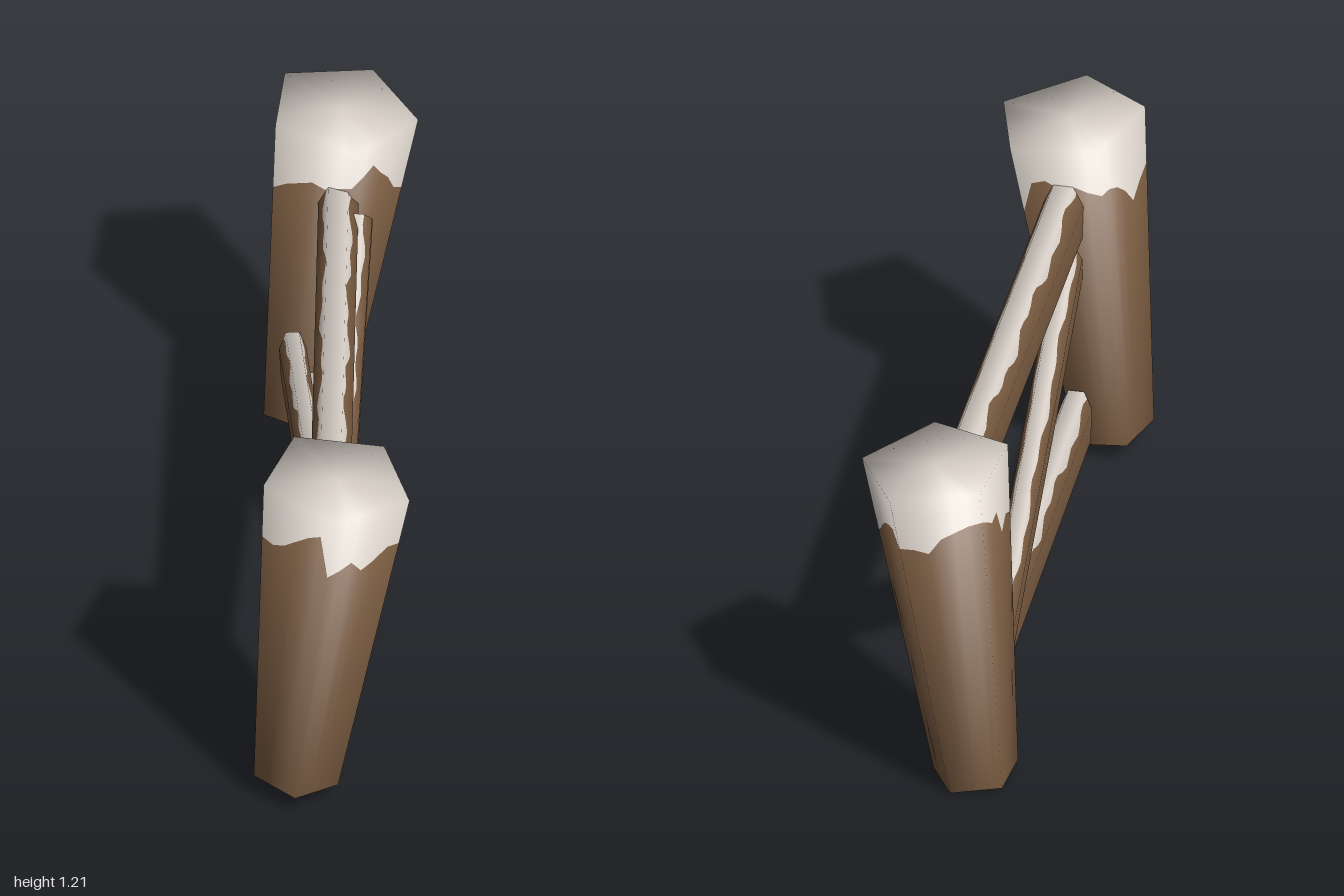
import * as THREE from 'three';

const V = (x, y, z) => new THREE.Vector3(x, y, z);
const wood = new THREE.MeshStandardMaterial({ color: 0x785a40, side: THREE.DoubleSide });
wood.name = 'brown wood';
const snow = new THREE.MeshStandardMaterial({ color: 0xd8d0c8, side: THREE.DoubleSide });
snow.name = 'snow white';

// Skin a list of rows of { p, n } points; triangles are turned to agree with their normals
function skin(name, rows, material) {
  const pos = [], nor = [], index = [], cols = rows[0].length;
  const pts = rows.flat();
  pts.forEach(({ p, n }) => { pos.push(p.x, p.y, p.z); nor.push(n.x, n.y, n.z); });
  const tri = (a, b, c) => {
    const ab = pts[b].p.clone().sub(pts[a].p), ac = pts[c].p.clone().sub(pts[a].p);
    const face = ab.cross(ac);
    if (face.lengthSq() < 1e-14) return;
    const n = pts[a].n.clone().add(pts[b].n).add(pts[c].n);
    if (face.dot(n) > 0) index.push(a, b, c); else index.push(a, c, b);
  };
  for (let i = 0; i < rows.length - 1; i++) {
    for (let j = 0; j < cols - 1; j++) {
      const a = i * cols + j, b = a + cols;
      tri(a, b, a + 1);
      tri(b, b + 1, a + 1);
    }
  }
  const geo = new THREE.BufferGeometry();
  geo.setAttribute('position', new THREE.Float32BufferAttribute(pos, 3));
  geo.setAttribute('normal', new THREE.Float32BufferAttribute(nor, 3));
  geo.setIndex(index);
  const mesh = new THREE.Mesh(geo, material);
  mesh.name = name;
  return mesh;
}

// Leaning five-sided post, open below, that widens upwards; edge lists the height of the snow line, six per side
function post(name, base, top, r0, r1, turn, edge) {
  const group = new THREE.Group();
  group.name = name;
  const axis = top.clone().sub(base), length = axis.length();
  axis.normalize();
  const q = new THREE.Quaternion().setFromUnitVectors(V(0, 1, 0), axis);
  const corner = k => {
    const a = turn + k * Math.PI * 2 / 5;
    return V(Math.sin(a), 0, -Math.cos(a));
  };
  const at = (i, t, scale = 1) => {
    const c = corner(Math.floor(i / 6)).lerp(corner(Math.floor(i / 6) + 1), (i % 6) / 6);
    const r = THREE.MathUtils.lerp(r0, r1, t) * scale;
    const p = V(c.x * r, t * length, c.z * r).applyQuaternion(q).add(base);
    const n = c.multiplyScalar(scale).setY(0.8 * t - 0.1).normalize().applyQuaternion(q);
    return { p, n };
  };
  const ring = f => Array.from({ length: 31 }, (_, i) => f(i));
  const line = i => (edge[i % 30] - base.y) / (top.y - base.y);
  group.add(
    skin('postWood', [ring(i => at(i, 0)), ring(i => at(i, line(i)))], wood),
    skin('postSnowCap', [ring(i => at(i, line(i))), ring(i => at(i, 1)), ring(i => at(i, 1, 0))], snow)
  );
  return group;
}

// Hollow plank from a to b, open below and at its ends, with a ragged strip of snow along its top;
// bare (0 to 1) is how far the wood reaches up to the top corner
function rail(name, a, b, halfHeight, halfWidth, bare, seed) {
  const group = new THREE.Group();
  group.name = name;
  const d = b.clone().sub(a).normalize();
  const side = d.clone().cross(V(0, 1, 0)).normalize();
  const up = side.clone().cross(d);
  const steps = 36;
  const at = (i, w, h) => ({
    p: a.clone().lerp(b, i / steps).addScaledVector(side, w * halfWidth).addScaledVector(up, h * halfHeight),
    n: side.clone().multiplyScalar(w).addScaledVector(up, Math.max(h, 0) * 0.7).normalize()
  });
  // Snow line on one side, between the widest point and the top corner
  const drip = (i, s) => {
    const wave = 0.16 * Math.sin(i * 0.55 + seed + s) + 0.14 * Math.sin(i * 1.4 + seed * 2 - s);
    const k = THREE.MathUtils.clamp(bare + wave, 0, 1);
    return at(i, s * THREE.MathUtils.lerp(1, 0.5, k), THREE.MathUtils.lerp(0.3, 1, k));
  };
  const near = [], far = [], snowRows = [];
  for (let i = 0; i <= steps; i++) {
    const front = drip(i, 1), back = drip(i, -1);
    near.push([front, at(i, 1, 0.3), at(i, 0.9, -1)]);
    far.push([back, at(i, -1, 0.3), at(i, -0.9, -1)]);
    snowRows.push([front, at(i, 0.5, 1), at(i, -0.5, 1), back]);
  }
  group.add(skin('railFront', near, wood), skin('railBack', far, wood), skin('railSnow', snowRows, snow));
  return group;
}

export function createModel() {
  const model = new THREE.Group();
  model.name = 'snowyFence';
  model.add(
    post('rightPost', V(-0.64, 0.064, 0.75), V(-0.527, 1.187, 0.807), 0.137, 0.237, 0, [
      1.02, 1.03, 1.05, 1.04, 1.07, 1.06, 0.95, 0.94, 0.96, 1.0, 0.96, 0.99,
      1.02, 1.02, 0.98, 0.955, 1.0, 0.98, 0.97, 1.11, 1.08, 1.04, 1.0, 0.98,
      0.99, 0.95, 0.9, 0.96, 1.0, 1.02
    ]),
    post('leftPost', V(0.449, 0.014, -0.82), V(0.566, 1.14, -0.775), 0.137, 0.237, -0.24, [
      1.03, 1.02, 1.0, 0.98, 0.93, 0.95, 0.96, 1.01, 1.0, 0.98, 0.95, 0.91,
      0.88, 0.9, 0.96, 1.0, 1.05, 1.02, 1.0, 0.98, 0.96, 0.97, 0.95, 0.93,
      0.9, 0.92, 0.88, 0.98, 0.97, 1.0
    ]),
    rail('topRail', V(-0.46, 0.955, 0.67), V(0.49, 0.88, -0.68), 0.098, 0.062, 0.7, 1),
    rail('bottomRail', V(-0.5, 0.177, 0.68), V(0.395, 0.174, -0.66), 0.09, 0.05, 0.5, 2.4),
    rail('backBrace', V(-0.46, 0.77, 0.64), V(0.34, 0.325, -0.71), 0.075, 0.042, 0.72, 4.1),
    rail('frontBrace', V(-0.065, 0.132, 0.1), V(0.475, 0.885, -0.565), 0.085, 0.052, 0.74, 5.3)
  );
  return model;
}
